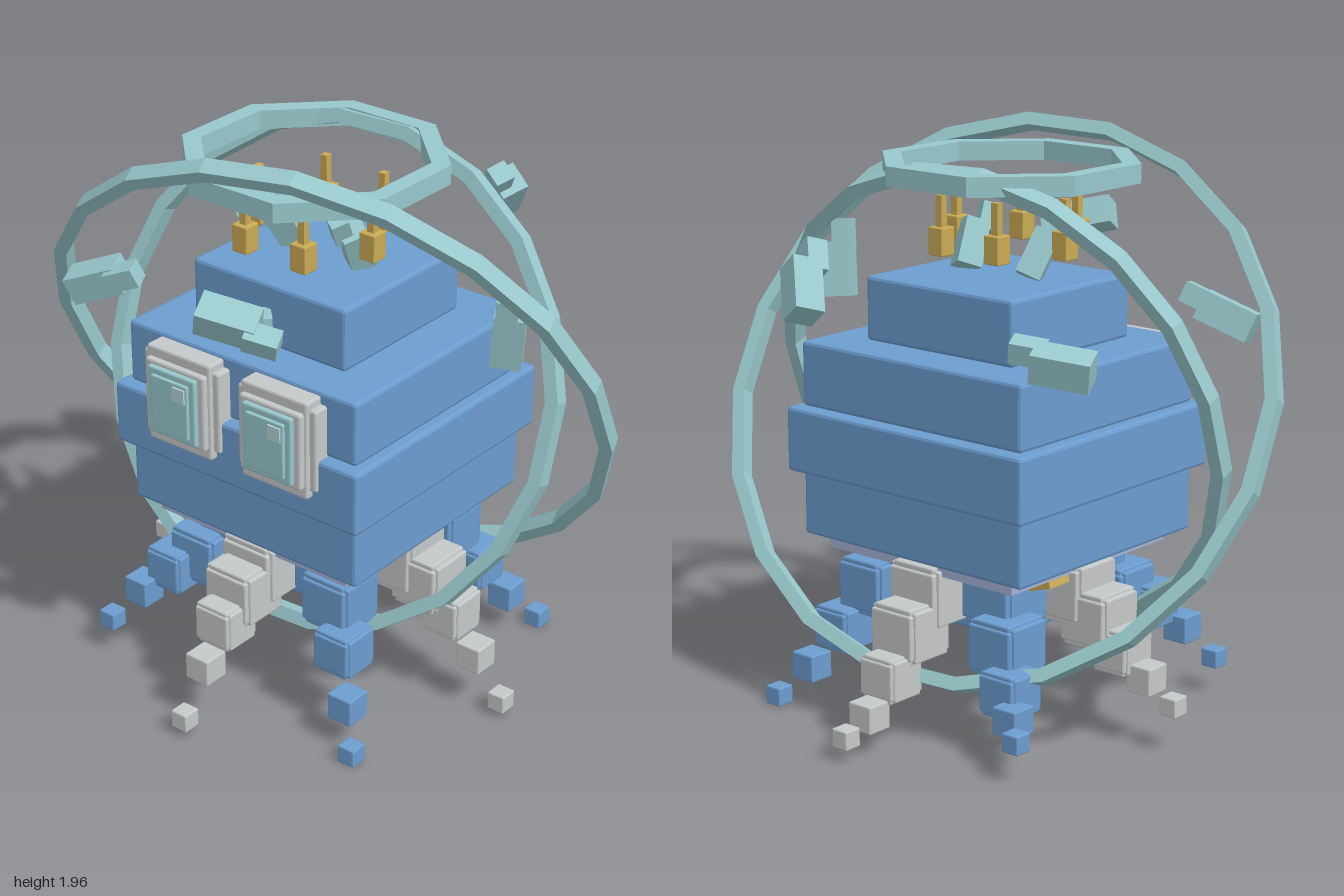
import * as THREE from 'three';
import { RoundedBoxGeometry } from 'three/addons/geometries/RoundedBoxGeometry.js';

const paint = (name, color) => {
  const m = new THREE.MeshStandardMaterial({ color, flatShading: true });
  m.name = name;
  return m;
};

export function createModel() {
  const root = new THREE.Group();
  root.name = 'floatingBlockCreature';
  const blue = paint('bodyBlue', 0x6c9dd0);
  const white = paint('paleGrey', 0xc6c9c9);
  const teal = paint('ringTeal', 0x98c8cc);
  const gold = paint('antennaGold', 0xcaaa55);
  const panel = paint('undersideLavender', 0xa6b3d6);
  const shine = paint('eyeShine', 0xb4d4d4);

  const group = (name, parent = root) => {
    const g = new THREE.Group();
    g.name = name;
    parent.add(g);
    return g;
  };
  const box = (parent, name, mat, size, pos, bevel = 0) => {
    const geo = bevel ? new RoundedBoxGeometry(...size, 1, bevel) : new THREE.BoxGeometry(...size);
    const m = new THREE.Mesh(geo, mat);
    m.name = name;
    m.position.set(...pos);
    parent.add(m);
    return m;
  };

  // Stacked body tiers: width, depth, bottom, top
  const body = group('body');
  [[0.95, 0.89, 0.6, 0.823], [1.02, 0.975, 0.823, 1.045], [0.95, 0.89, 1.045, 1.267], [0.63, 0.6, 1.267, 1.485]]
    .forEach(([w, d, y0, y1], i) =>
      box(body, 'tier' + (i + 1), blue, [w, y1 - y0, d], [0, (y0 + y1) / 2, 0], 0.012));
  box(body, 'undersidePanel', panel, [0.8, 0.045, 0.8], [0, 0.58, 0]);
  box(body, 'lowerCore', blue, [0.56, 0.22, 0.56], [0, 0.46, 0], 0.012);

  // Gold plates hanging beneath the body
  box(root, 'goldPlate', gold, [0.12, 0.04, 0.1], [-0.34, 0.535, -0.16]).rotation.z = -0.3;
  box(root, 'goldPlate', gold, [0.22, 0.03, 0.08], [0.13, 0.35, -0.13]).rotation.x = 0.3;

  // Block with stepped edges, made from three crossed boxes
  const steppedBlock = (parent, name, mat, s, pos) => {
    const a = s * 0.82, b = s * 0.91;
    [[s, b, a], [a, s, b], [b, a, s]].forEach(size => box(parent, name, mat, size, pos, 0.006));
  };

  // Legs: chains of shrinking blocks, heights run from tip to hip
  const sizes = [0.065, 0.095, 0.15, 0.19, 0.21];
  const leg = (dx, dz, heights) => {
    const diagonal = dx !== 0 && dz !== 0;
    const reach = diagonal ? [0.53, 0.45, 0.37, 0.29, 0.21] : [0.75, 0.64, 0.535, 0.44, 0.33];
    const g = group(diagonal ? 'cornerLeg' : 'sideLeg');
    heights.forEach((y, i) => {
      const pos = [dx * reach[i], y, dz * reach[i]];
      const mat = diagonal ? blue : white;
      if (i < 2) box(g, 'legTip', mat, [sizes[i], sizes[i], sizes[i]], pos, 0.005);
      else steppedBlock(g, 'legSegment', mat, sizes[i], pos);
    });
  };
  leg(1, 0, [0.055, 0.195, 0.33, 0.43, 0.48]);
  leg(-1, 0, [0.16, 0.23, 0.31, 0.4, 0.48]);
  leg(0, 1, [0.06, 0.215, 0.34, 0.425, 0.48]);
  leg(0, -1, [0.08, 0.125, 0.235, 0.37, 0.48]);
  leg(1, 1, [0.035, 0.148, 0.3, 0.43, 0.49]);
  leg(1, -1, [0.035, 0.14, 0.28, 0.43, 0.49]);
  leg(-1, 1, [0.13, 0.245, 0.335, 0.39, 0.49]);
  leg(-1, -1, [0.135, 0.165, 0.22, 0.34, 0.49]);

  // Eyes: stepped frame with a layered lens
  for (const side of [-1, 1]) {
    const eye = group(side > 0 ? 'leftEye' : 'rightEye');
    eye.position.set(side * 0.2, 1.08, 0);
    const layer = (name, mat, w, h, front, bevel = 0) =>
      box(eye, name, mat, [w, h, front - 0.42], [0, 0, (front + 0.42) / 2], bevel);
    layer('eyeFrame', white, 0.32, 0.29, 0.5, 0.008);
    layer('eyeFrame', white, 0.27, 0.345, 0.515, 0.008);
    layer('eyeFrame', white, 0.25, 0.27, 0.535, 0.008);
    layer('eyeLens', teal, 0.2, 0.24, 0.552, 0.006);
    layer('eyeLens', teal, 0.155, 0.195, 0.563, 0.004);
    box(eye, 'eyeGlint', shine, [0.05, 0.05, 0.008], [0.045, 0.06, 0.566]);
  }

  // Six antennae standing in a circle above the head
  for (const x of [-1, 1]) {
    for (const [px, z] of [[0.12, -0.145], [0.235, 0.06], [0.12, 0.265]]) {
      const g = group('antenna');
      g.position.set(x * px, 0, z);
      box(g, 'antennaBase', gold, [0.062, 0.095, 0.062], [0, 1.603, 0], 0.004);
      box(g, 'antennaRod', gold, [0.026, 0.11, 0.026], [0, 1.7, 0]);
    }
  }

  // Rings: straight segments around a circle facing along the normal
  const ring = (name, centre, normal, radius, count, radial, axial, turn = 0) => {
    const g = group(name);
    g.position.set(...centre);
    g.quaternion.setFromUnitVectors(new THREE.Vector3(0, 0, 1), new THREE.Vector3(...normal).normalize());
    const length = 2 * (radius + radial / 2) * Math.tan(Math.PI / count);
    for (let i = 0; i < count; i++) {
      const a = turn + i / count * Math.PI * 2;
      box(g, 'ringSegment', teal, [radial, length, axial], [Math.cos(a) * radius, Math.sin(a) * radius, 0])
        .rotation.z = a;
    }
  };
  ring('halo', [0, 1.835, 0.06], [0, 1, 0], 0.382, 8, 0.06, 0.065);
  ring('largeOrbit', [0.01, 1.07, 0], [0.207, -0.464, 0.85], 0.965, 20, 0.045, 0.06);
  ring('smallOrbit', [0, 1.05, 0], [0.087, 0.32, 0.94], 0.842, 20, 0.045, 0.06);

  // Floating shards: a long block with a smaller one at its end
  const shard = (pos, rot, scale = 1) => {
    const g = group('floatingShard');
    g.position.set(...pos);
    g.rotation.set(...rot);
    g.scale.setScalar(scale);
    box(g, 'shardBlock', teal, [0.19, 0.1, 0.1], [-0.02, 0, 0]);
    box(g, 'shardChip', teal, [0.11, 0.07, 0.07], [0.1, 0.01, 0.04]);
  };
  shard([0.73, 1.43, 0], [0.2, 0.5, 1.4]);
  shard([0.2, 1.56, 0.69], [0.5, 0.3, -0.4]);
  shard([-0.61, 1.37, 0.42], [0.2, 0.4, 0.3]);
  shard([-0.62, 1.35, -0.45], [-0.3, 0.4, 0.25]);
  shard([0.21, 1.53, -0.7], [0.3, -0.4, 1.0]);
  shard([-0.15, 1.58, 0.04], [0.4, 0.6, 1.75], 0.85);
  shard([0.15, 1.58, 0.04], [0.4, -0.6, 1.4], 0.85);
  box(root, 'browGem', teal, [0.088, 0.09, 0.088], [0, 1.355, 0.35]).rotation.y = Math.PI / 4;

  return root;
}
